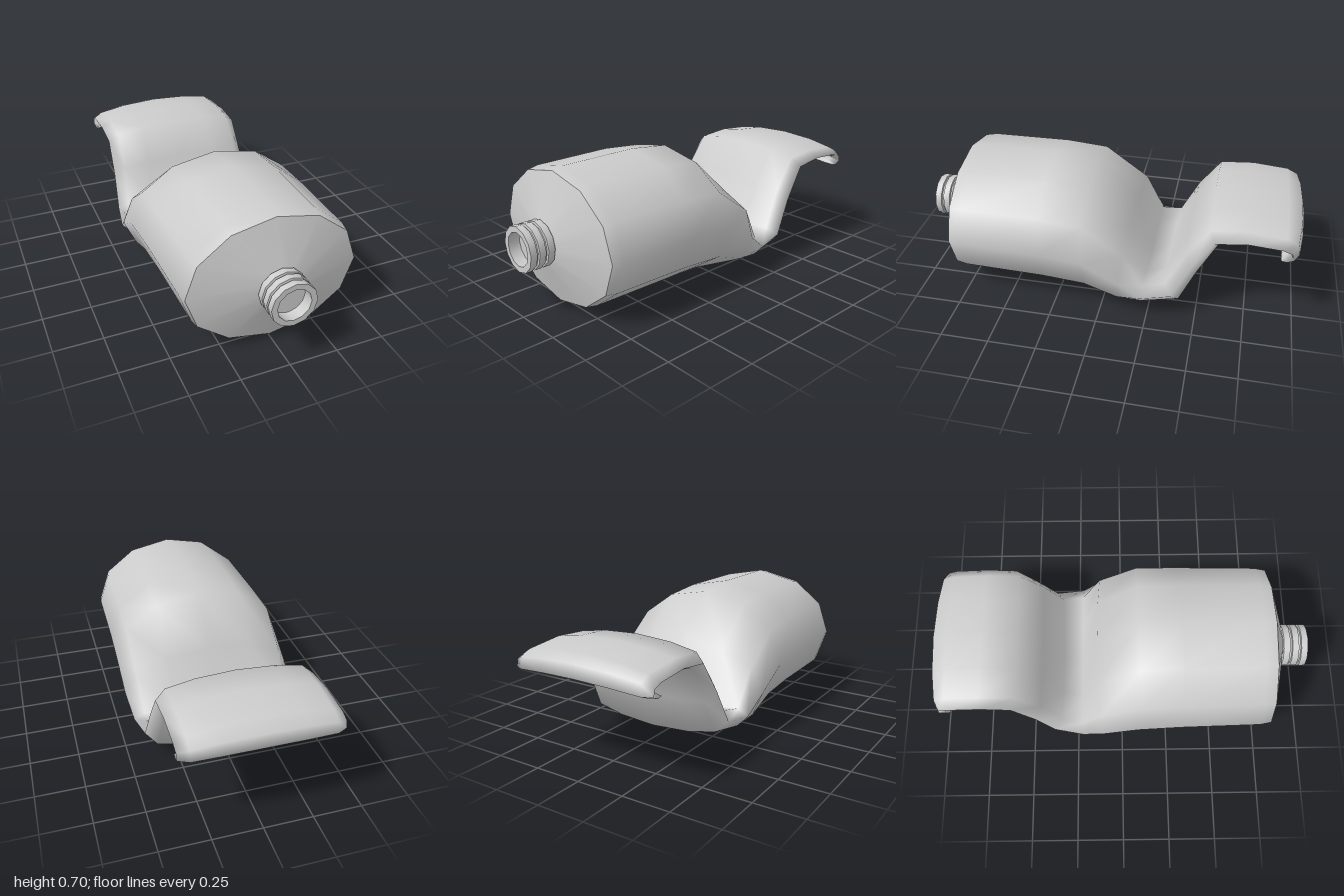
import * as THREE from 'three';
import { toCreasedNormals } from 'three/addons/utils/BufferGeometryUtils.js';

const SIDES = 12;
const AXIS_Y = 0.355;
const material = new THREE.MeshStandardMaterial({ color: 0xcccccc });

// Skins 12-sided cross-sections. Each section: top [z, y], bottom [z, y],
// half width, roundness (1 = ellipse, small = flat slab), edge bow [z, y].
function loft(sections, capEnd) {
  const pos = [], index = [];
  for (const [top, bottom, halfWidth, round, bow = [0, 0]] of sections) {
    for (let j = 0; j < SIDES; j++) {
      const a = (j / SIDES) * Math.PI * 2;
      const u = Math.sin(a), c = Math.abs(Math.cos(a)) < 1e-6 ? 0 : Math.cos(a);
      const t = (1 + Math.sign(c) * Math.abs(c) ** round) / 2;
      pos.push(
        u * halfWidth,
        bottom[1] + (top[1] - bottom[1]) * t + bow[1] * u * u,
        bottom[0] + (top[0] - bottom[0]) * t + bow[0] * u * u
      );
    }
  }
  for (let i = 0; i < sections.length - 1; i++) {
    for (let j = 0; j < SIDES; j++) {
      const k = (j + 1) % SIDES, a = i * SIDES, b = a + SIDES;
      index.push(a + j, a + k, b + j, a + k, b + k, b + j);
    }
  }
  if (capEnd) {
    const [top, bottom] = sections[sections.length - 1];
    const a = (sections.length - 1) * SIDES, centre = pos.length / 3;
    pos.push(0, (top[1] + bottom[1]) / 2, (top[0] + bottom[0]) / 2);
    for (let j = 0; j < SIDES; j++) index.push(a + j, a + ((j + 1) % SIDES), centre);
  }
  const geometry = new THREE.BufferGeometry();
  geometry.setAttribute('position', new THREE.Float32BufferAttribute(pos, 3));
  geometry.setIndex(index);
  geometry.computeVertexNormals();
  return geometry;
}

export function createModel() {
  const group = new THREE.Group();
  const add = (name, geometry) => {
    const mesh = new THREE.Mesh(geometry, material);
    mesh.name = name;
    group.add(mesh);
    return mesh;
  };

  // Full front of the tube, squeezed flat, bent up and curled at the tail
  const rim = [[0.79, 0.69], [0.79, 0.02], 0.435, 1];
  add('tubeBody', loft([
    rim,
    [[0.73, 0.702], [0.73, 0.008], 0.446, 1],
    [[0.31, 0.704], [0.31, 0.004], 0.456, 1],
    [[0.09, 0.68], [0.08, 0.004], 0.464, 0.95],
    [[-0.13, 0.46], [-0.08, 0.012], 0.46, 0.75],
    [[-0.22, 0.145], [-0.22, 0.025], 0.44, 0.35, [0, 0.06]],
    [[-0.325, 0.18], [-0.42, 0.07], 0.415, 0.35, [0, 0.04]],
    [[-0.425, 0.41], [-0.5, 0.28], 0.402, 0.35],
    [[-0.54, 0.587], [-0.6, 0.505], 0.395, 0.35, [0, -0.035]],
    [[-0.72, 0.6], [-0.73, 0.53], 0.393, 0.35, [0, -0.035]],
    [[-0.91, 0.583], [-0.88, 0.523], 0.393, 0.35, [0, -0.035]],
    [[-0.985, 0.553], [-0.935, 0.518], 0.392, 0.35, [0.02, -0.035]],
    [[-1, 0.49], [-0.945, 0.502], 0.392, 0.35, [0.025, -0.03]],
    [[-0.94, 0.462], [-0.93, 0.492], 0.39, 0.35, [0.02, -0.025]],
    [[-0.895, 0.472], [-0.9, 0.49], 0.388, 0.35, [0.01, -0.025]],
  ], true));

  // Shallow cone between the nozzle and the rim
  add('shoulder', loft([
    [[0.87, AXIS_Y + 0.1], [0.87, AXIS_Y - 0.1], 0.1, 1],
    rim,
  ], false));

  // Threaded hollow nozzle
  const profile = [[0.1, 0.86]];
  for (let i = 0; i < 3; i++) {
    const z = 0.872 + i * 0.047;
    profile.push([0.115, z], [0.115, z + 0.034]);
    if (i < 2) profile.push([0.103, z + 0.036], [0.103, z + 0.045]);
  }
  profile.push([0.085, 1], [0.085, 0.94], [0, 0.94]);
  const nozzle = new THREE.LatheGeometry(
    profile.map(([r, z]) => new THREE.Vector2(r, Math.min(z, 1))), SIDES);
  nozzle.rotateX(Math.PI / 2);
  add('threadedNozzle', toCreasedNormals(nozzle, 0.7)).position.y = AXIS_Y;

  return group;
}
